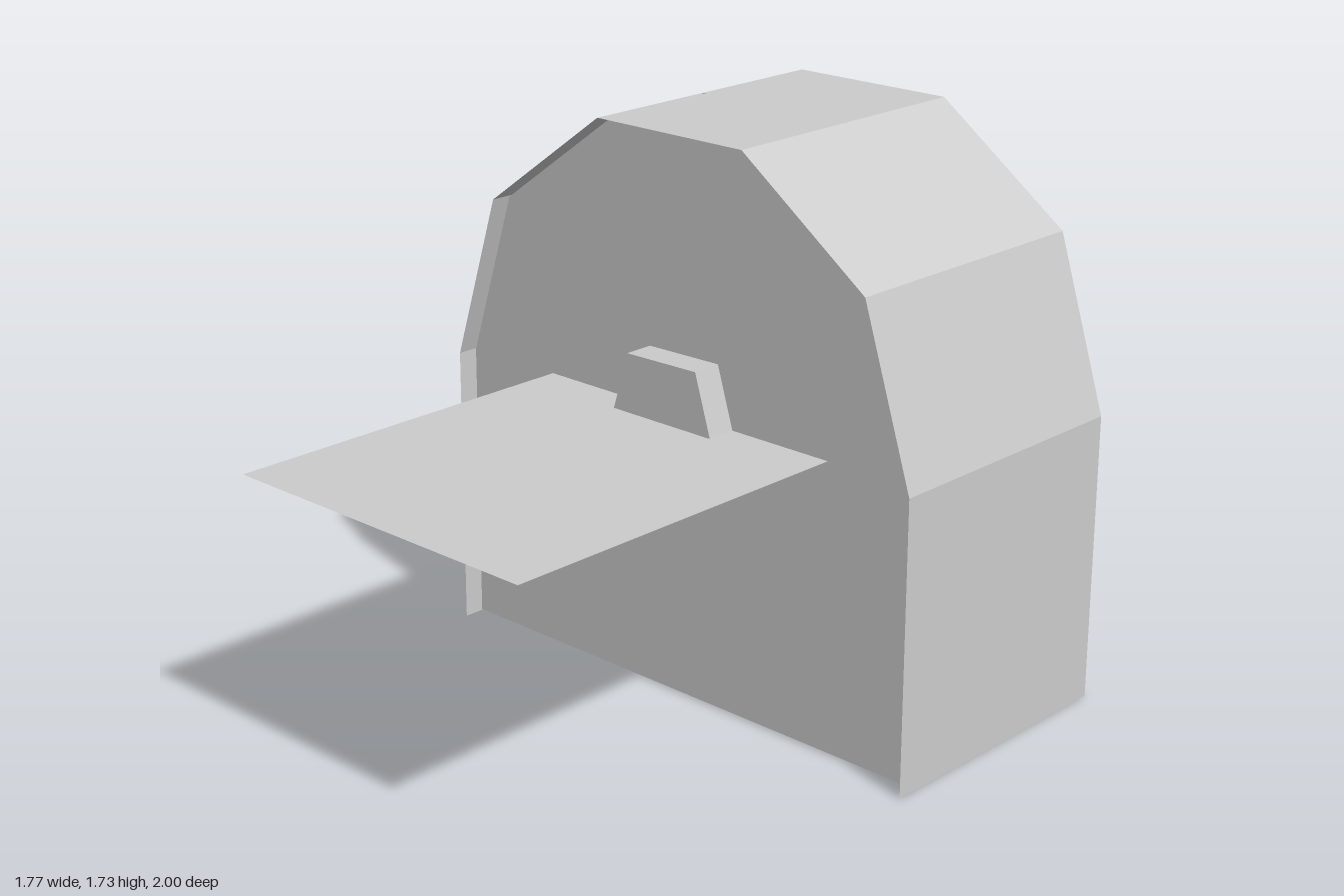
import * as THREE from 'three';

// Arch outline, from the foot of one side over the roof to the other
const ARCH = [
  [-0.885, 0], [-0.885, 0.89], [-0.72, 1.41], [-0.28, 1.73],
  [0.265, 1.73], [0.705, 1.41], [0.875, 0.89], [0.882, 0],
];

const material = new THREE.MeshStandardMaterial({
  color: 0xcccccc, flatShading: true, side: THREE.DoubleSide,
});

function add(group, name, geometry) {
  const mesh = new THREE.Mesh(geometry, material);
  mesh.name = name;
  group.add(mesh);
  return mesh;
}

// Solid prism of an outline between two depths
function prism(points, zBack, zFront) {
  const shape = new THREE.Shape(points.map(([x, y]) => new THREE.Vector2(x, y)));
  const geometry = new THREE.ExtrudeGeometry(shape, { depth: zFront - zBack, bevelEnabled: false });
  return geometry.translate(0, 0, zBack);
}

// Open thin sheet that follows the arch between two depths
function archSheet(zBack, zFront) {
  const position = [];
  for (let i = 0; i < ARCH.length - 1; i++) {
    const [ax, ay] = ARCH[i], [bx, by] = ARCH[i + 1];
    position.push(
      ax, ay, zFront, bx, by, zBack, ax, ay, zBack,
      ax, ay, zFront, bx, by, zFront, bx, by, zBack,
    );
  }
  // Reverse each triangle so the outside is the front face
  const out = [];
  for (let t = 0; t < position.length; t += 9) {
    out.push(...position.slice(t, t + 3), ...position.slice(t + 6, t + 9), ...position.slice(t + 3, t + 6));
  }
  const geometry = new THREE.BufferGeometry();
  geometry.setAttribute('position', new THREE.Float32BufferAttribute(out, 3));
  geometry.computeVertexNormals();
  // Keep the outside as the front whichever way the outline runs
  const n = geometry.attributes.normal;
  if (n.getX(0) > 0) {
    const p = geometry.attributes.position;
    for (let i = 0; i < p.count; i += 3) {
      const b = [p.getX(i + 1), p.getY(i + 1), p.getZ(i + 1)];
      p.setXYZ(i + 1, p.getX(i + 2), p.getY(i + 2), p.getZ(i + 2));
      p.setXYZ(i + 2, ...b);
    }
    geometry.computeVertexNormals();
  }
  return geometry;
}

export function createModel() {
  const group = new THREE.Group();
  group.name = 'archedBox';

  // Outer skin in two halves with a hairline seam
  add(group, 'rearShell', archSheet(-1, -0.55));
  add(group, 'frontShell', archSheet(-0.546, -0.11));

  // End walls and floor, set back a little inside the skin
  const inner = ARCH.map(([x, y]) => [x * 0.997, 0.004 + y * 0.995]);
  add(group, 'body', prism(inner, -0.95, -0.175));

  // Flat shelf reaching forward from the front wall
  const shelf = add(group, 'shelf', new THREE.PlaneGeometry(1.08, 1.175).rotateX(-Math.PI / 2));
  shelf.position.set(0, 0.89, 0.4125);

  // Five-sided knob on the front wall
  const knob = [[0, 0.67], [0.21, 0.82], [0.13, 1.075], [-0.135, 1.07], [-0.21, 0.82]];
  add(group, 'knob', prism(knob, -0.18, -0.08));

  return group;
}
